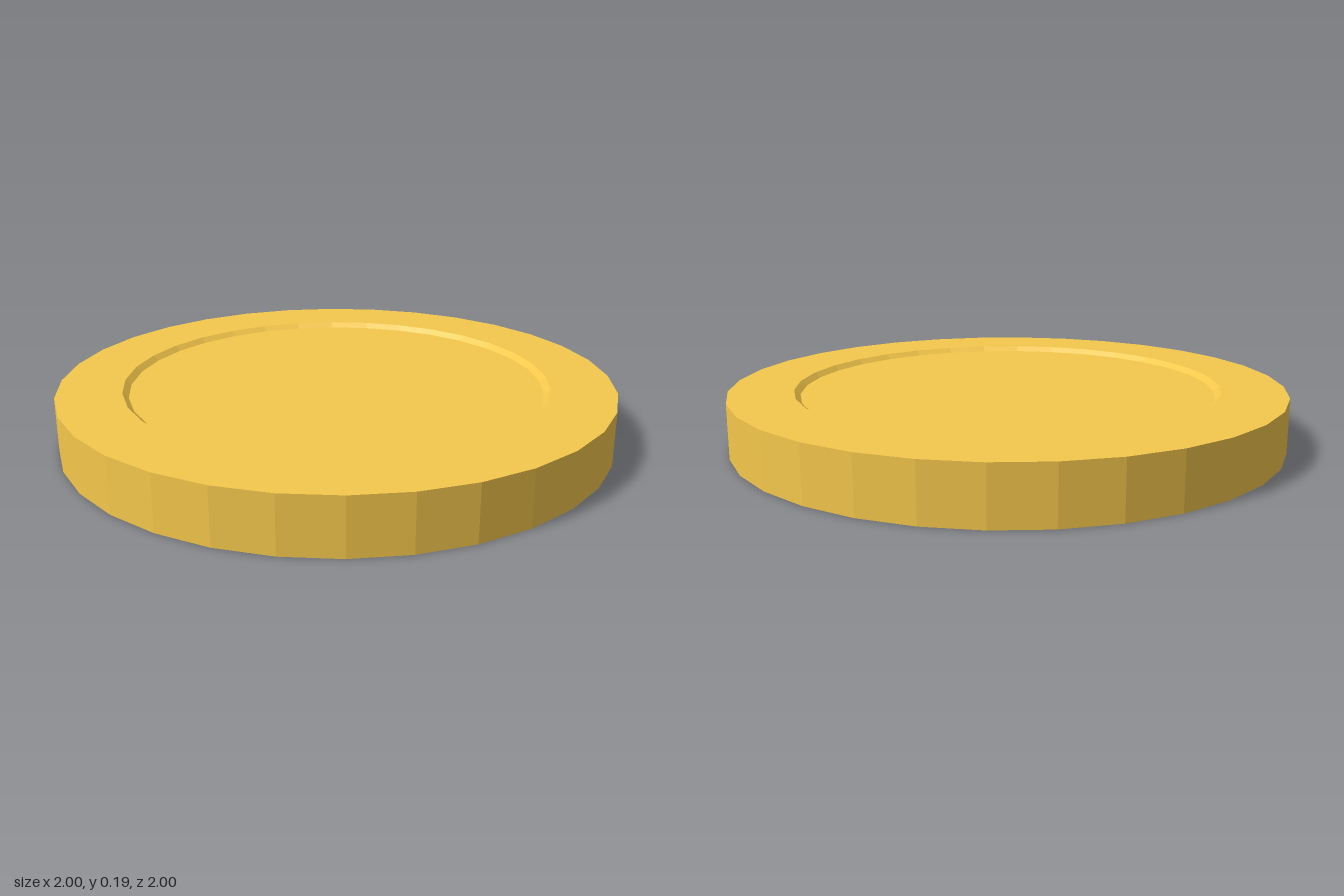
import * as THREE from 'three';

const SIDES = 32;
const HEIGHT = 0.195;

export function createModel() {
  const group = new THREE.Group();
  group.name = 'coin';
  const gold = new THREE.MeshStandardMaterial({ color: 0xf5c84c, flatShading: true });

  // Each part is a faceted turn of a [radius, height] profile, listed from underside to top.
  const addTurned = (name, profile) => {
    const points = profile.map(([r, y]) => new THREE.Vector2(r, y));
    const geometry = new THREE.LatheGeometry(points, SIDES).toNonIndexed();
    geometry.computeVertexNormals();
    const mesh = new THREE.Mesh(geometry, gold);
    mesh.name = name;
    group.add(mesh);
  };

  // Recessed underside: floor disc and sloping wall
  addTurned('bottomRecess', [[0, 0.026], [0.726, 0.026], [0.769, 0]]);

  // Raised border with a straight outer edge
  addTurned('rim', [[0.769, 0], [1, 0], [1, HEIGHT], [0.769, HEIGHT]]);

  // Recessed top: sloping wall and floor disc
  addTurned('topRecess', [[0.769, HEIGHT], [0.748, HEIGHT - 0.018], [0, HEIGHT - 0.018]]);

  return group;
}
